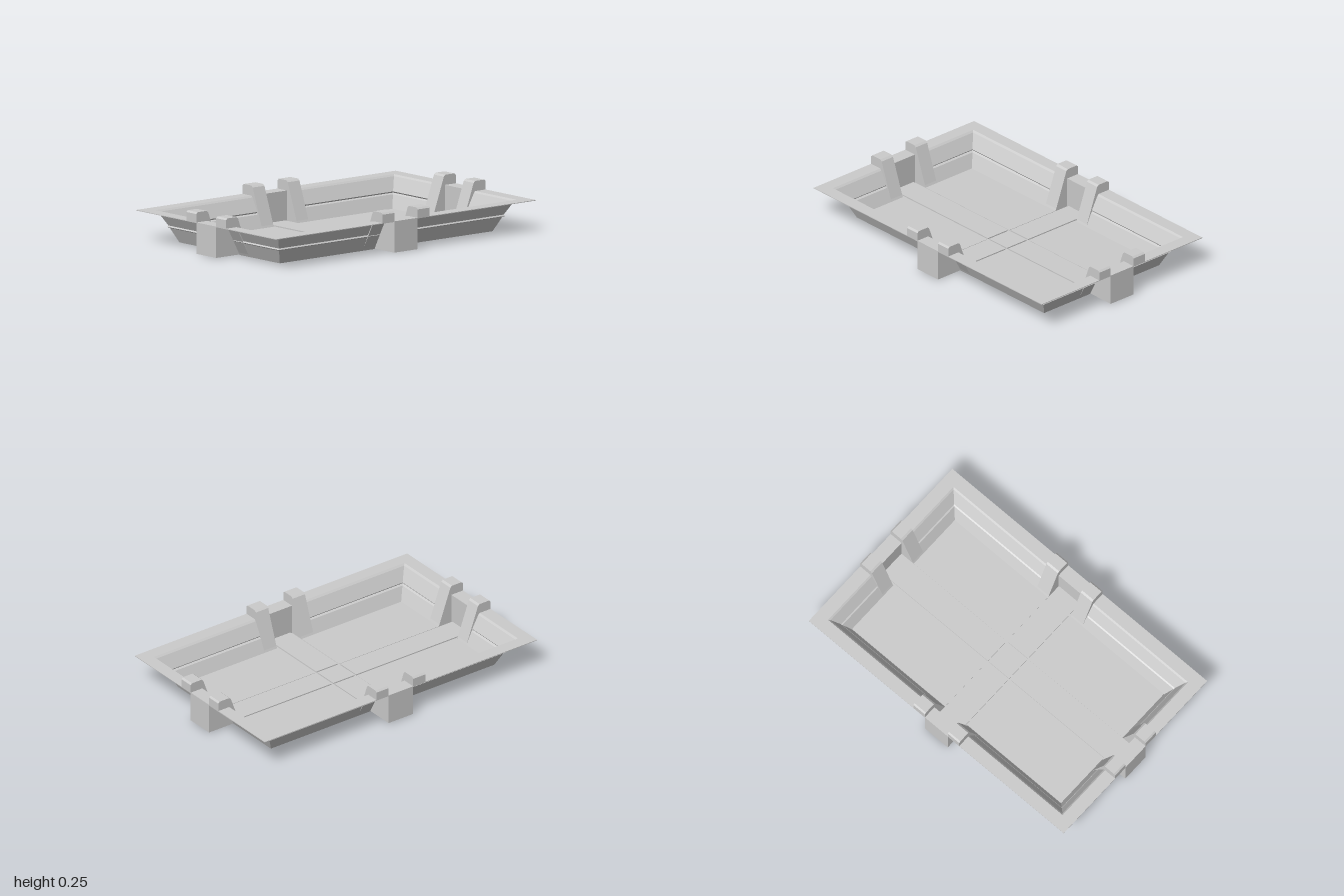
import * as THREE from 'three';

const IX = 0.82, IZ = 0.455, GAP = 0.09; // basin half sizes, half channel width
const OUT = 0.18, RIM = 0.19;            // rim reach beyond the basin, rim height
const mat = new THREE.MeshStandardMaterial({ color: 0xcccccc, flatShading: true, side: THREE.DoubleSide });

function add(parent, name, geo, x = 0, y = 0, z = 0) {
  const m = new THREE.Mesh(geo, mat);
  m.name = name;
  m.position.set(x, y, z);
  parent.add(m);
  return m;
}

// Box given by its lower and upper corners
function block(parent, name, a, b) {
  const s = a.map((v, i) => b[i] - v);
  return add(parent, name, new THREE.BoxGeometry(...s), ...a.map((v, i) => (v + b[i]) / 2));
}

// Rim and stepped sloping wall, as [outward offset, height], rim to floor
const WALL = [[OUT, RIM - 0.004], [OUT, RIM], [0.1, RIM], [0.09, 0.18], [0.046, 0.1],
  [0.052, 0.092], [0.04, 0.085], [0, 0]];

// One corner of the basin: the profile swept from channel to corner to channel
function cornerWall(sx, sz) {
  const pos = [];
  const rows = WALL.map(([o, y]) => [
    [sx * (IX + o), y, sz * GAP],
    [sx * (IX + o), y, sz * (IZ + o)],
    [sx * GAP, y, sz * (IZ + o)],
  ]);
  for (let i = 0; i < rows.length - 1; i++) {
    for (let j = 0; j < 2; j++) {
      const [a, b, c, d] = [rows[i][j], rows[i + 1][j], rows[i + 1][j + 1], rows[i][j + 1]];
      const quad = sx * sz > 0 ? [a, c, b, a, d, c] : [a, b, c, a, c, d];
      quad.forEach((p) => pos.push(...p));
    }
  }
  const g = new THREE.BufferGeometry();
  g.setAttribute('position', new THREE.Float32BufferAttribute(pos, 3));
  g.computeVertexNormals();
  return g;
}

// Extrude a profile drawn in (outward, up) to a slab lying across x
function slab(points, width) {
  const shape = new THREE.Shape(points.map(([o, y]) => new THREE.Vector2(o, y)));
  const g = new THREE.ExtrudeGeometry(shape, { depth: width, bevelEnabled: false });
  return g.rotateY(-Math.PI / 2); // outward becomes +z, width runs to -x
}

// A closed-off channel end with two sloping posts; faces +z
function makeGate(inner) {
  const gate = new THREE.Group();
  gate.name = 'gate';
  const end = inner + OUT;
  block(gate, 'gateDam', [-GAP, 0.006, end - 0.085], [GAP, RIM, end]);

  const side = new THREE.ShapeGeometry(new THREE.Shape([
    [end, 0.006], [end, RIM], [inner + 0.1, RIM], [inner, 0.006],
  ].map((p) => new THREE.Vector2(...p)))).rotateY(-Math.PI / 2);
  const post = slab([
    [inner, 0.002], [inner + 0.1, RIM - 0.002], [end, RIM - 0.002], [end, 0.24],
    [end - 0.01, 0.25], [inner + 0.1, 0.25], [inner + 0.088, 0.24], [inner + 0.008, 0.02],
  ], 0.09);
  for (const s of [-1, 1]) {
    add(gate, 'channelSide', side, s * GAP);
    add(gate, 'post', post, s > 0 ? 0.18 : -0.09);
  }
  return gate;
}

export function createModel() {
  const model = new THREE.Group();
  model.name = 'tray';

  // Four basin corners with their floor panels
  for (const sx of [-1, 1]) {
    for (const sz of [-1, 1]) {
      add(model, 'basinWall', cornerWall(sx, sz));
      const w = IX - GAP, d = IZ - GAP;
      add(model, 'floorPanel', new THREE.BoxGeometry(w, 0.008, d),
        sx * (GAP + w / 2), 0.004, sz * (GAP + d / 2));
    }
  }

  // Crossing channel floors: a low bed with a slightly narrower raised strip
  const X = IX + OUT, Z = IZ + OUT, S = 0.077;
  block(model, 'channelBed', [-X, 0.003, -GAP], [X, 0.006, GAP]);
  for (const s of [-1, 1]) {
    const z = [s * GAP, s * Z].sort((p, q) => p - q);
    block(model, 'channelBed', [-GAP, 0.003, z[0]], [GAP, 0.006, z[1]]);
    const zs = [s * GAP, s * (Z - 0.085)].sort((p, q) => p - q);
    block(model, 'channelStrip', [-S, 0.006, zs[0]], [S, 0.013, zs[1]]);
    const xs = [s * GAP, s * (X - 0.085)].sort((p, q) => p - q);
    block(model, 'channelStrip', [xs[0], 0.006, -S], [xs[1], 0.013, S]);
  }
  block(model, 'channelCrossing', [-S, 0.006, -S], [S, 0.013, S]);

  // A gate in the middle of each side
  for (let i = 0; i < 4; i++) {
    const gate = makeGate(i % 2 ? IX : IZ);
    gate.rotation.y = i * Math.PI / 2;
    model.add(gate);
  }
  return model;
}
